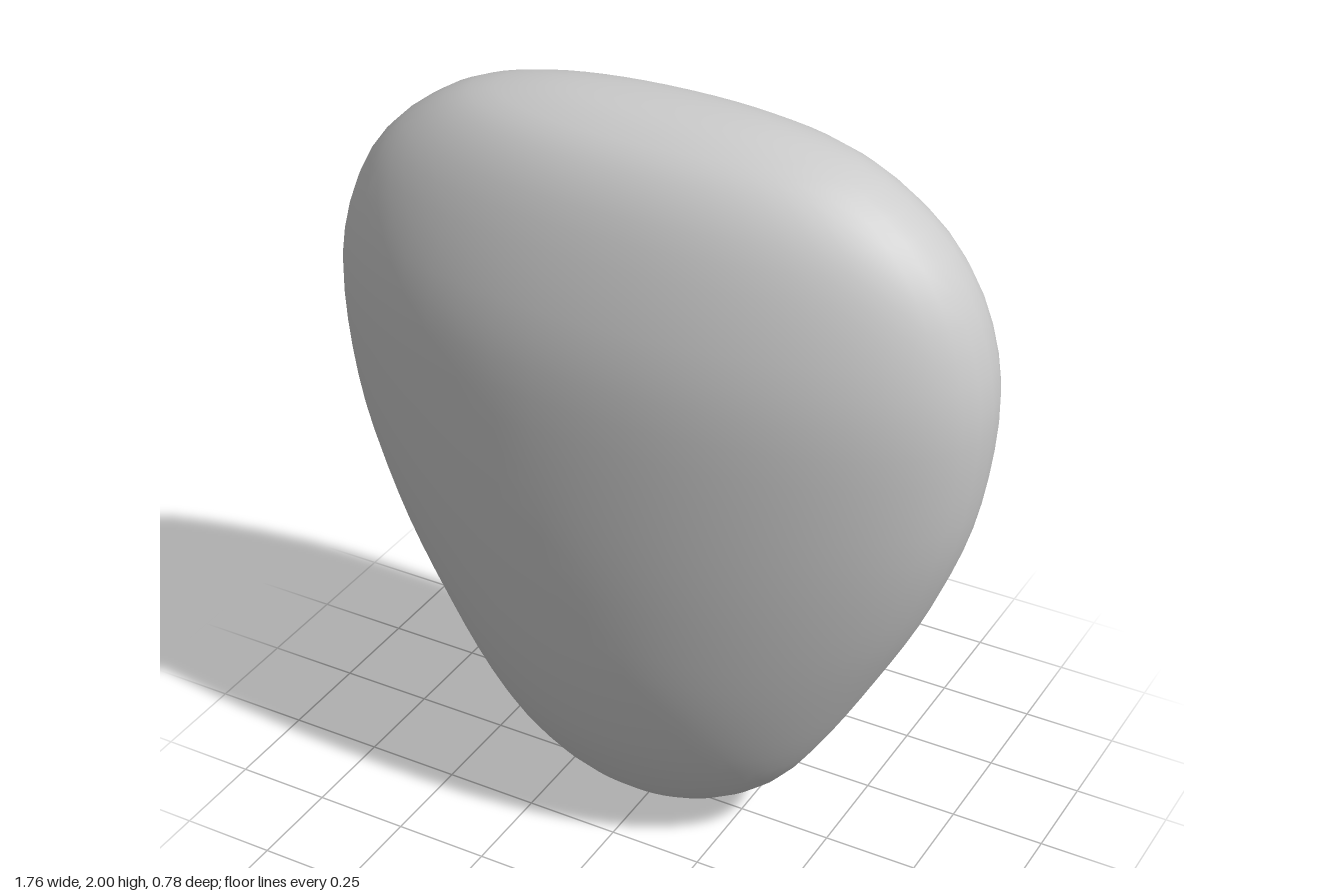
import * as THREE from 'three';
import { mergeVertices } from 'three/addons/utils/BufferGeometryUtils.js';

// Rounded, flattened stone: [height, half width, half depth] from bottom to top
const PROFILE = [
  [0, 0, 0], [0.01, 0.05, 0.035], [0.04, 0.16, 0.1], [0.1, 0.28, 0.165],
  [0.18, 0.38, 0.217], [0.3, 0.47, 0.278], [0.52, 0.6, 0.34], [0.8, 0.745, 0.376],
  [1.07, 0.84, 0.39], [1.38, 0.88, 0.388], [1.52, 0.865, 0.372], [1.66, 0.82, 0.337],
  [1.77, 0.75, 0.3], [1.86, 0.65, 0.257], [1.93, 0.53, 0.2], [1.98, 0.33, 0.115],
  [1.995, 0.18, 0.06], [2, 0, 0],
];

// Slightly squared ellipse for the horizontal sections
const squared = (c) => Math.sign(c) * Math.abs(c) ** (2 / 2.12);

function stoneGeometry() {
  const curve = new THREE.CatmullRomCurve3(
    PROFILE.map(([y, w, d]) => new THREE.Vector3(w, y, d)), false, 'centripetal');
  let geo = new THREE.SphereGeometry(1, 48, 40);
  const pos = geo.attributes.position;
  // Move each sphere ring onto the section at its place along the profile
  for (let i = 0; i < pos.count; i++) {
    const x = pos.getX(i), y = pos.getY(i), z = pos.getZ(i);
    const t = 1 - Math.acos(THREE.MathUtils.clamp(y, -1, 1)) / Math.PI;
    const s = curve.getPointAt(THREE.MathUtils.clamp(t, 0, 1));
    const r = Math.hypot(x, z) || 1;
    pos.setXYZ(i, s.x * squared(x / r), s.y, s.z * squared(z / r));
  }
  // Weld the seam so the shading stays smooth all round
  geo.deleteAttribute('uv');
  geo.deleteAttribute('normal');
  geo = mergeVertices(geo, 1e-4);
  geo.computeVertexNormals();
  return geo;
}

export function createModel() {
  const group = new THREE.Group();
  const stone = new THREE.Mesh(
    stoneGeometry(), new THREE.MeshStandardMaterial({ color: 0xcccccc }));
  stone.name = 'stone';
  group.add(stone);
  return group;
}
